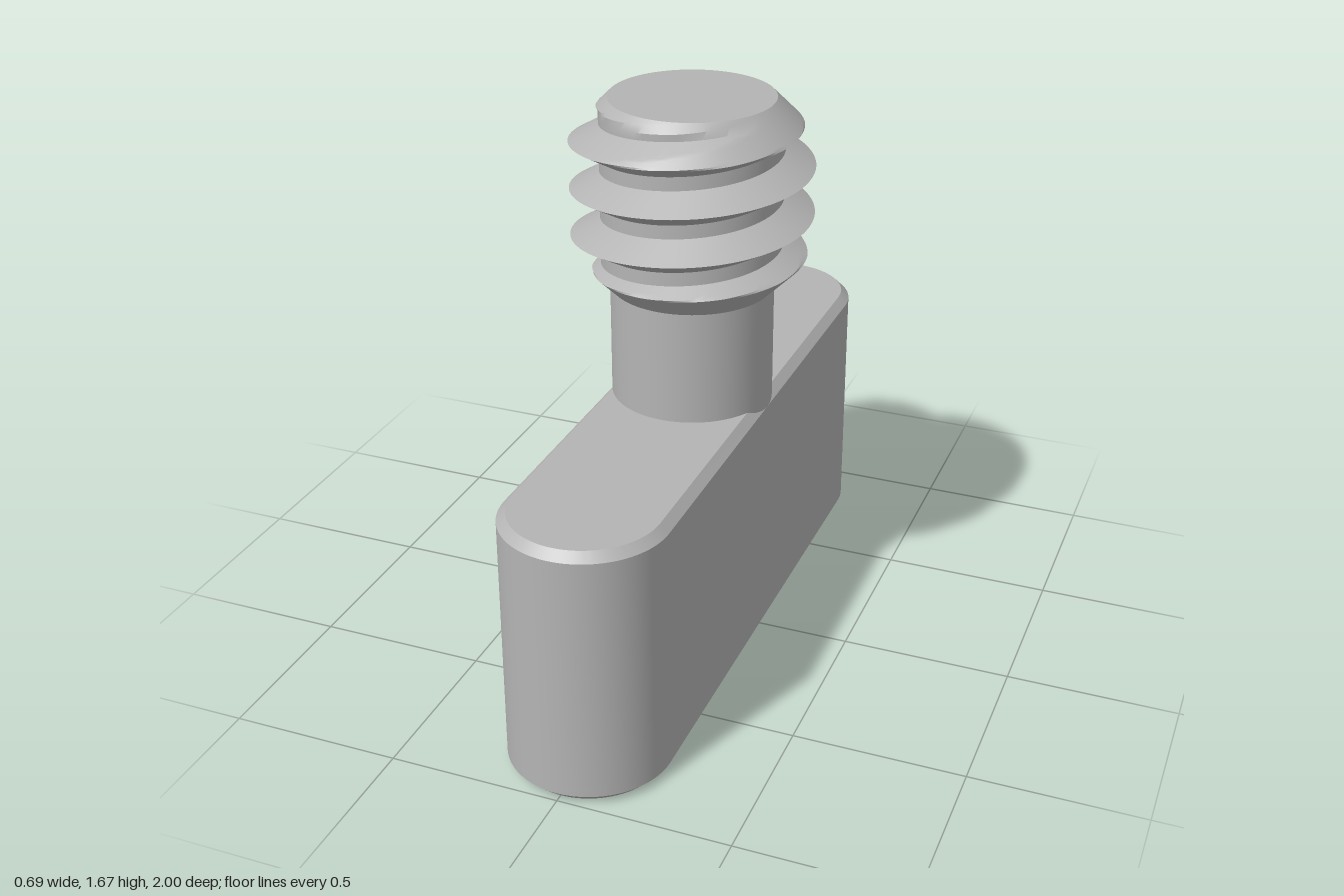
import * as THREE from 'three';
import { toCreasedNormals } from 'three/addons/utils/BufferGeometryUtils.js';

const RADIUS = 0.235;                       // shank and half the handle width
const BOTTOM = 1.115, TOP = 1.67;           // threaded section
const PITCH = 0.138, ROOT = 0.26, CREST = 0.345, FLANK = 0.049;

// Stadium-shaped bar with a small chamfer top and bottom
function handleGeometry() {
  const chamfer = 0.025, r = RADIUS - chamfer, reach = 1 - RADIUS;
  const shape = new THREE.Shape();
  shape.absarc(0, reach, r, 0, Math.PI);
  shape.absarc(0, -reach, r, Math.PI, Math.PI * 2);
  const geo = new THREE.ExtrudeGeometry(shape, {
    depth: 0.78 - 2 * chamfer, curveSegments: 32,
    bevelSize: chamfer, bevelThickness: chamfer, bevelSegments: 1,
  });
  geo.translate(0, 0, chamfer);
  geo.rotateX(-Math.PI / 2);
  return toCreasedNormals(geo, 0.5);
}

// V-shaped right-hand thread, trimmed by a 45 degree cone at both ends
function threadGeometry() {
  const sides = 120, steps = 10;
  // One pitch of the profile as height offsets from the crest
  const offsets = [];
  for (let i = -steps; i <= steps; i++) offsets.push(FLANK * i / steps);
  offsets.push(PITCH / 2);

  const column = (i) => {
    const turn = i / sides, angle = turn * Math.PI * 2, points = [];
    for (let k = -3; k <= 3; k++) {
      for (const d of offsets) {
        const y = THREE.MathUtils.clamp(1.33 + PITCH * (k + turn) + d, BOTTOM, TOP);
        const ridge = CREST - (CREST - ROOT) * Math.min(1, Math.abs(d) / FLANK);
        const r = Math.min(ridge, RADIUS + y - BOTTOM, RADIUS + TOP - y);
        points.push(new THREE.Vector3(r * Math.cos(angle), y, -r * Math.sin(angle)));
      }
    }
    return points;
  };

  const positions = [];
  const triangle = (a, b, c) => {
    if (new THREE.Triangle(a, b, c).getArea() < 1e-9) return;
    for (const p of [a, b, c]) positions.push(p.x, p.y, p.z);
  };
  let near = column(0);
  for (let i = 1; i <= sides; i++) {
    const far = column(i);
    for (let j = 0; j < near.length - 1; j++) {
      triangle(near[j], far[j], far[j + 1]);
      triangle(near[j], far[j + 1], near[j + 1]);
    }
    near = far;
  }
  const geo = new THREE.BufferGeometry();
  geo.setAttribute('position', new THREE.Float32BufferAttribute(positions, 3));
  return toCreasedNormals(geo, 0.5);
}

export function createModel() {
  const group = new THREE.Group();
  group.name = 'thumbScrew';
  const grey = new THREE.MeshStandardMaterial({ color: 0xb4b4b4 });
  grey.name = 'grey';

  const add = (name, geometry, y = 0) => {
    const mesh = new THREE.Mesh(geometry, grey);
    mesh.name = name;
    mesh.position.y = y;
    group.add(mesh);
  };

  add('handle', handleGeometry());
  add('shank', new THREE.CylinderGeometry(RADIUS, RADIUS, BOTTOM - 0.7, 64), (BOTTOM + 0.7) / 2);
  add('thread', threadGeometry());

  // Flat end of the screw
  const cap = new THREE.CircleGeometry(RADIUS, 120);
  cap.rotateX(-Math.PI / 2);
  add('tip', cap, TOP);
  return group;
}
